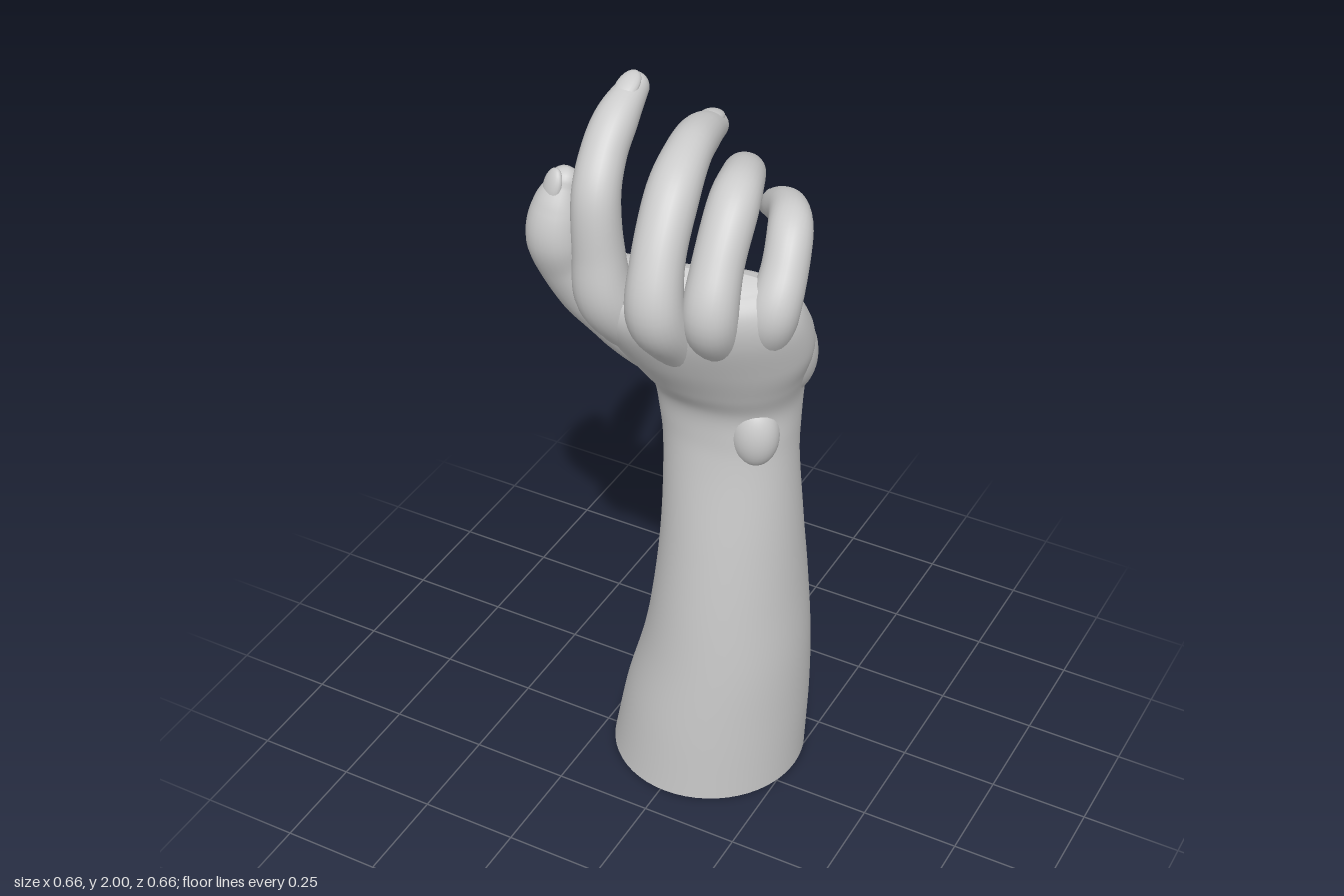
import * as THREE from 'three';

const material = new THREE.MeshStandardMaterial({ color: 0xcccccc, roughness: 0.8, side: THREE.DoubleSide });
const vec = (x, y, z) => new THREE.Vector3(x, y, z);
const curve = (points) => new THREE.CatmullRomCurve3(points, false, 'catmullrom', 0.5);

function addMesh(parent, name, geometry) {
  const mesh = new THREE.Mesh(geometry, material);
  mesh.name = name;
  parent.add(mesh);
  return mesh;
}

// Side axis U and dorsal axis V across a path that runs along T
function frameAlong(T) {
  const U = vec(1, 0, 0).addScaledVector(T, -T.x).normalize();
  return [U, U.clone().cross(T)];
}

// Skin over rings of { c, U, V, a, b, n }: centre, axes, half sizes, squareness
function skin(rings, sides, closed) {
  const pos = [], index = [];
  for (const { c, U, V, a, b, n } of rings) {
    for (let j = 0; j < sides; j++) {
      const t = (j / sides) * Math.PI * 2, co = Math.cos(t), si = Math.sin(t);
      const p = c.clone()
        .addScaledVector(U, a * Math.sign(co) * Math.abs(co) ** (2 / n))
        .addScaledVector(V, b * Math.sign(si) * Math.abs(si) ** (2 / n));
      pos.push(p.x, p.y, p.z);
    }
  }
  for (let i = 0; i < rings.length - 1; i++) {
    for (let j = 0; j < sides; j++) {
      const k = (j + 1) % sides, lo = i * sides, hi = lo + sides;
      index.push(lo + j, hi + j, lo + k, lo + k, hi + j, hi + k);
    }
  }
  if (closed) {
    const last = (rings.length - 1) * sides, c = rings[rings.length - 1].c;
    pos.push(c.x, c.y, c.z);
    for (let j = 0; j < sides; j++) index.push(last + j, pos.length / 3 - 1, last + (j + 1) % sides);
  }
  const g = new THREE.BufferGeometry();
  g.setAttribute('position', new THREE.Float32BufferAttribute(pos, 3));
  g.setIndex(index);
  g.computeVertexNormals();
  return g;
}

// Forearm, wrist and palm; each station: x, y, z, half width, half depth, squareness, yaw, pitch
function armGeometry() {
  const stations = [
    [0.012, 0.0, -0.08, 0.25, 0.25, 2, 0, 0],
    [0.037, 0.2, -0.078, 0.234, 0.243, 2, 0, 0],
    [0.067, 0.4, -0.069, 0.208, 0.222, 2, 0, 0],
    [0.081, 0.6, -0.06, 0.187, 0.2, 2, 0, 0],
    [0.088, 0.8, -0.047, 0.174, 0.168, 2, 0, 0],
    [0.087, 1.0, -0.038, 0.168, 0.134, 2.1, 0, 0],
    [0.083, 1.1, -0.038, 0.173, 0.128, 2.2, 0, 0.03],
    [0.08, 1.2, -0.033, 0.183, 0.134, 2.2, 0.06, 0.15],
    [0.085, 1.3, 0.015, 0.207, 0.133, 2.2, 0.2, 0.38],
    [0.1, 1.4, 0.082, 0.23, 0.118, 2.3, 0.35, 0.5],
    [0.1, 1.5, 0.15, 0.235, 0.098, 2.4, 0.4, 0.5],
    [0.095, 1.56, 0.18, 0.215, 0.075, 2.4, 0.4, 0.45],
    [0.092, 1.595, 0.192, 0.17, 0.035, 2.2, 0.4, 0.45],
  ];
  const [centre, size, turn] = [
    curve(stations.map((s) => vec(s[0], s[1], s[2]))),
    curve(stations.map((s) => vec(s[3], s[4], s[5]))),
    curve(stations.map((s) => vec(s[6], s[7], 0))),
  ];
  const rings = [];
  for (let i = 0; i <= 90; i++) {
    const t = i / 90, s = size.getPoint(t), r = turn.getPoint(t);
    const e = new THREE.Euler(r.y, r.x, 0, 'YXZ');
    rings.push({ c: centre.getPoint(t), U: vec(1, 0, 0).applyEuler(e), V: vec(0, 0, 1).applyEuler(e), a: s.x, b: s.y, n: s.z });
  }
  return skin(rings, 56, true);
}

// Round digit along stations of x, y, z, radius, with a domed tip and a nail
function addDigit(parent, name, stations, nailTurn = 0) {
  const digit = new THREE.Group();
  digit.name = name;
  parent.add(digit);
  const path = curve(stations.map((s) => vec(s[0], s[1], s[2])));
  const radius = curve(stations.map((s) => vec(s[3], 0, 0)));
  const rings = [], steps = 56;
  for (let i = 0; i <= steps; i++) {
    const t = i / steps, [U, V] = frameAlong(path.getTangent(t)), r = radius.getPoint(t).x;
    rings.push({ c: path.getPoint(t), U, V, a: r, b: r * 0.98, n: 2.1 });
  }
  const end = rings[steps], T = path.getTangent(1);
  for (let k = 1; k <= 6; k++) {
    const q = (k / 6.3) * Math.PI / 2, f = Math.cos(q);
    rings.push({ ...end, c: end.c.clone().addScaledVector(T, end.a * Math.sin(q)), a: end.a * f, b: end.b * f });
  }
  addMesh(digit, name + 'Skin', skin(rings, 28, true));

  // Nail: thin oval shell half sunk in the back of the fingertip
  const t = 0.965, tan = path.getTangent(t), [U, V] = frameAlong(tan), r = radius.getPoint(t).x;
  U.applyAxisAngle(tan, nailTurn);
  V.applyAxisAngle(tan, nailTurn);
  const nail = addMesh(digit, name + 'Nail', new THREE.SphereGeometry(1, 20, 14));
  nail.quaternion.setFromRotationMatrix(new THREE.Matrix4().makeBasis(U, tan, V));
  nail.scale.set(r * 0.72, 0.046, r * 0.42);
  nail.position.copy(path.getPoint(t)).addScaledVector(V, r * 0.68);
}

function addBulge(parent, name, [x, y, z], [sx, sy, sz], rx, rz) {
  const m = addMesh(parent, name, new THREE.SphereGeometry(1, 32, 20));
  m.position.set(x, y, z);
  m.scale.set(sx, sy, sz);
  m.rotation.set(rx, 0, rz);
}

export function createModel() {
  const hand = new THREE.Group();
  hand.name = 'handAndForearm';
  addMesh(hand, 'forearmAndPalm', armGeometry());

  // Fingers start as hand bones inside the palm, so the knuckles swell out of it
  addDigit(hand, 'indexFinger', [
    [0.02, 1.3, 0.06, 0.06], [-0.045, 1.43, 0.175, 0.066], [-0.08, 1.54, 0.25, 0.068],
    [-0.09, 1.66, 0.262, 0.058], [-0.097, 1.79, 0.255, 0.054], [-0.105, 1.87, 0.205, 0.051],
    [-0.107, 1.925, 0.142, 0.048], [-0.106, 1.965, 0.067, 0.034]]);
  addDigit(hand, 'middleFinger', [
    [0.06, 1.3, 0.06, 0.06], [0.055, 1.43, 0.18, 0.066], [0.05, 1.54, 0.262, 0.067],
    [0.042, 1.66, 0.235, 0.06], [0.03, 1.775, 0.145, 0.06], [0.012, 1.818, 0.04, 0.053],
    [-0.01, 1.81, -0.06, 0.048], [-0.024, 1.785, -0.15, 0.034]]);
  addDigit(hand, 'ringFinger', [
    [0.11, 1.3, 0.03, 0.06], [0.135, 1.42, 0.13, 0.063], [0.155, 1.53, 0.205, 0.064],
    [0.152, 1.64, 0.165, 0.058], [0.142, 1.74, 0.075, 0.058], [0.115, 1.75, -0.02, 0.051],
    [0.072, 1.705, -0.12, 0.046], [0.036, 1.655, -0.205, 0.033]]);
  addDigit(hand, 'littleFinger', [
    [0.16, 1.3, 0.0, 0.06], [0.22, 1.42, 0.07, 0.062], [0.262, 1.52, 0.115, 0.06],
    [0.268, 1.61, 0.072, 0.053], [0.25, 1.677, 0.01, 0.051], [0.21, 1.68, -0.06, 0.045],
    [0.16, 1.645, -0.12, 0.041], [0.118, 1.61, -0.165, 0.03]]);
  addDigit(hand, 'thumb', [
    [0.0, 1.22, -0.05, 0.09], [-0.07, 1.3, -0.015, 0.115], [-0.15, 1.365, 0.02, 0.112],
    [-0.22, 1.43, 0.07, 0.088], [-0.258, 1.51, 0.12, 0.068], [-0.267, 1.59, 0.148, 0.068],
    [-0.262, 1.665, 0.142, 0.058], [-0.25, 1.725, 0.132, 0.034]], -0.5);

  // Soft pads of the palm, the web beside the thumb and the wrist bone
  addBulge(hand, 'thumbPad', [-0.06, 1.345, -0.025], [0.11, 0.15, 0.1], 0.5, 0.5);
  addBulge(hand, 'heelPad', [0.2, 1.32, -0.03], [0.1, 0.16, 0.1], 0.5, -0.15);
  addBulge(hand, 'thumbWeb', [-0.11, 1.41, 0.115], [0.085, 0.12, 0.075], 0.5, 0.35);
  addBulge(hand, 'wristBone', [0.185, 1.12, 0.035], [0.06, 0.09, 0.055], 0, 0);
  return hand;
}
